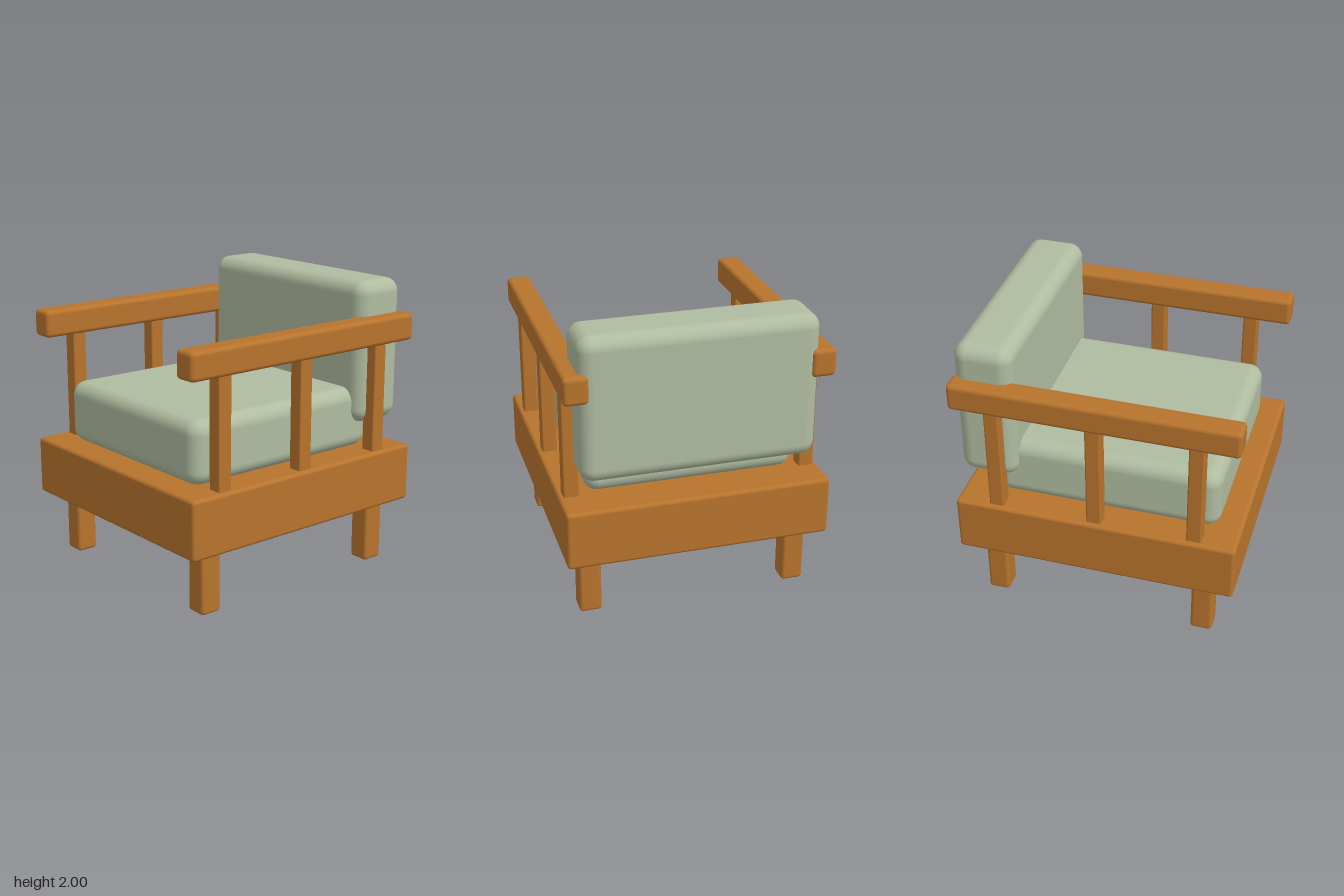
import * as THREE from 'three';
import { RoundedBoxGeometry } from 'three/addons/geometries/RoundedBoxGeometry.js';

export function createModel() {
  const model = new THREE.Group();
  model.name = 'armchair';

  const wood = new THREE.MeshStandardMaterial({ color: 0xb8742d });
  wood.name = 'warm wood';
  const fabric = new THREE.MeshStandardMaterial({ color: 0xb0bca0 });
  fabric.name = 'sage fabric';

  // Rounded block given by its lowest and highest corners
  function block(name, material, min, max, radius, segments = 3) {
    const size = max.map((v, i) => v - min[i]);
    const mesh = new THREE.Mesh(new RoundedBoxGeometry(...size, segments, radius), material);
    mesh.position.set(...max.map((v, i) => (v + min[i]) / 2));
    mesh.name = name;
    model.add(mesh);
  }

  // Solid seat frame
  block('baseFrame', wood, [-0.89, 0.435, -0.96], [0.89, 0.837, 0.96], 0.025);

  for (const side of [-1, 1]) {
    const label = side > 0 ? 'left' : 'right';
    // Block centred on x and z
    const upright = (name, x, z, half, bottom, top, radius) =>
      block(name, wood, [side * x - half, bottom, z - half], [side * x + half, top, z + half], radius);

    // Legs, sunk slightly into the frame
    upright(label + 'FrontLeg', 0.713, 0.735, 0.075, 0, 0.5, 0.023);
    upright(label + 'BackLeg', 0.713, -0.735, 0.075, 0, 0.5, 0.023);

    // Armrest posts
    for (const [place, z] of [['Front', 0.677], ['Middle', 0], ['Back', -0.677]]) {
      upright(label + place + 'Post', 0.806, z, 0.051, 0.8, 1.62, 0.012);
    }

    // Armrest rail
    const x = side * 0.803;
    block(label + 'Armrest', wood, [x - 0.082, 1.58, -0.96], [x + 0.082, 1.768, 0.96], 0.03);
  }

  // Cushions
  block('seatCushion', fabric, [-0.712, 0.832, -0.73], [0.712, 1.265, 0.81], 0.095, 6);
  block('backCushion', fabric, [-0.785, 1.018, -0.95], [0.785, 2, -0.553], 0.095, 6);

  return model;
}
